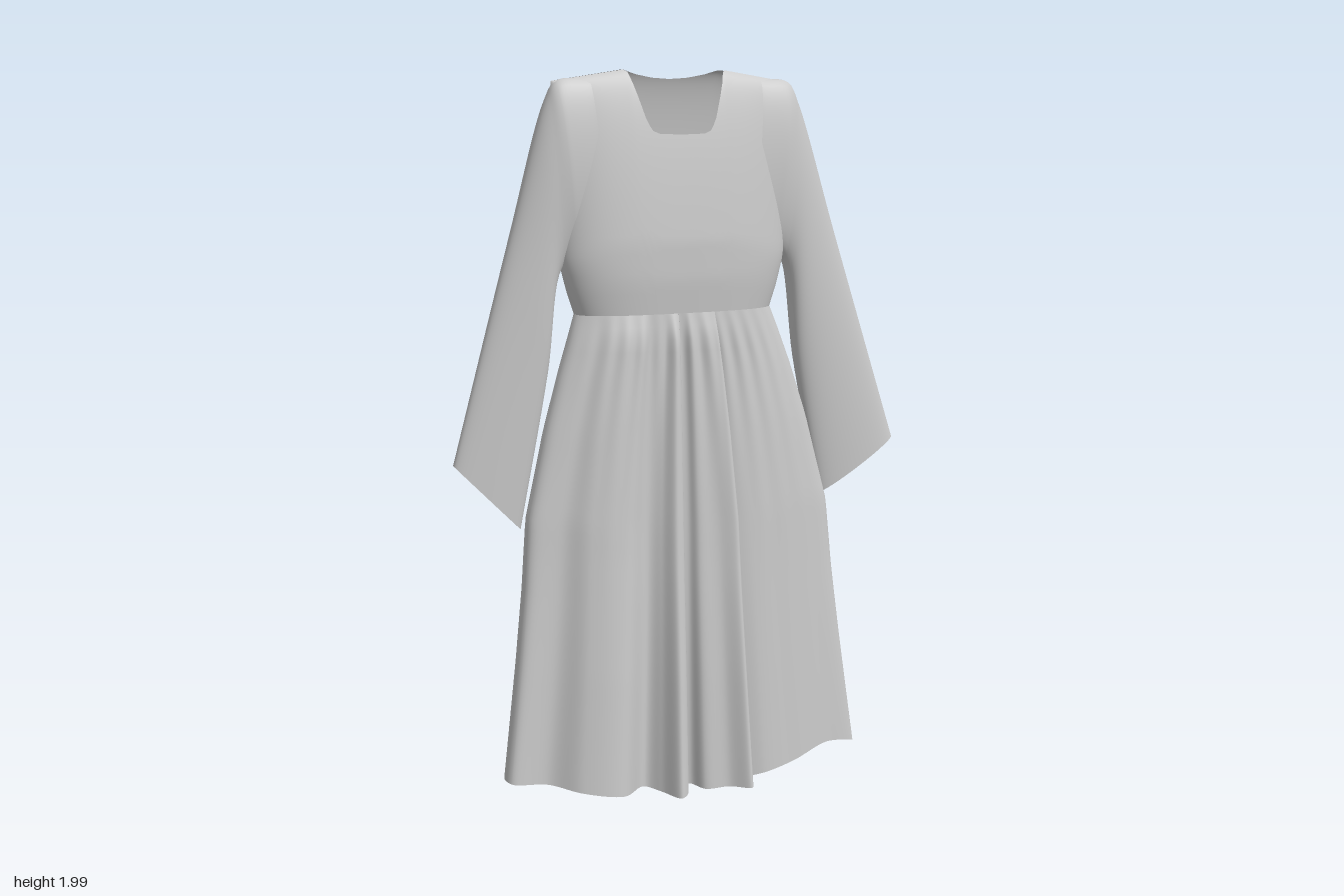
import * as THREE from 'three';

const material = new THREE.MeshStandardMaterial({ color: 0xcccccc, side: THREE.DoubleSide });
const WAIST = 1.36, MID = -0.04;

// Piecewise-linear lookup through [input, output] pairs
function ramp(pairs, t) {
  if (t <= pairs[0][0]) return pairs[0][1];
  for (let i = 1; i < pairs.length; i++) {
    const [a, p] = pairs[i - 1], [b, q] = pairs[i];
    if (t <= b) return p + (q - p) * (t - a) / (b - a);
  }
  return pairs[pairs.length - 1][1];
}

// Smooth sheet of cloth from point(u, v), joined along u when closed
function cloth(name, nu, nv, closed, point) {
  const pos = [], index = [], cols = closed ? nu : nu + 1;
  for (let j = 0; j <= nv; j++)
    for (let i = 0; i < cols; i++) pos.push(...point(i / nu, j / nv));
  for (let j = 0; j < nv; j++)
    for (let i = 0; i < nu; i++) {
      const k = (i + 1) % cols;
      const a = j * cols + i, b = j * cols + k, c = a + cols, d = b + cols;
      index.push(a, b, d, a, d, c);
    }
  const geo = new THREE.BufferGeometry();
  geo.setAttribute('position', new THREE.Float32BufferAttribute(pos, 3));
  geo.setIndex(index);
  geo.computeVertexNormals();
  const mesh = new THREE.Mesh(geo, material);
  mesh.name = name;
  return mesh;
}

// Depth falloff towards the side seams, u from -1 to 1
const sideRound = (u) => Math.sqrt(Math.max(0, 1 - Math.abs(u) ** 3.2));
const FRONT_WAIST = 0.092, BACK_WAIST = 0.058;

// Front or back of the bodice, with its neckline cut into the top edge
function bodicePanel(name, front) {
  const neck = front
    ? [[0, 1.83], [0.065, 1.832], [0.085, 1.84], [0.1, 1.865], [0.14, 1.998], [0.345, 1.967]]
    : [[0, 1.974], [0.05, 1.977], [0.1, 1.986], [0.14, 1.998], [0.345, 1.967]];
  const shoulder = [[0, 2], [0.14, 2], [0.345, 1.967]];
  const halfWidth = [[WAIST, 0.285], [1.42, 0.305], [1.5, 0.325], [1.8, 0.335], [1.97, 0.34]];
  return cloth(name, 90, 40, false, (a, b) => {
    const u = Math.sin((a - 0.5) * Math.PI) * 0.4 + (a * 2 - 1) * 0.6;
    const x0 = Math.abs(u) * 0.345;
    const top = ramp(neck, x0);
    const y = top - (top - WAIST) * b ** 1.8;
    const drop = Math.max(0, ramp(shoulder, x0) - y);
    const tuck = ramp([[WAIST, 0], [1.45, 1]], y);
    const depth = front
      ? (FRONT_WAIST + 0.008 * tuck) * Math.min(1, drop / 0.45) ** 0.38
      : (BACK_WAIST + 0.007 * tuck) * Math.min(1, drop / 0.25) ** 0.4;
    const z = -0.01 + (front ? 1 : -1) * depth * sideRound(u);
    return [MID + u * ramp(halfWidth, y), y, z];
  });
}

// Skirt hem: across the front from the right side, then round the back
const FRONT_HEM = [
  [-0.56, 0.1, 0.035], [-0.55, 0.095, 0.08], [-0.45, 0.08, 0.085], [-0.37, 0.065, 0.145],
  [-0.26, 0.045, 0.165], [-0.17, 0.03, 0.09], [-0.13, 0.02, 0.12], [-0.09, 0.015, 0.175],
  [-0.06, 0.02, 0.15], [-0.075, 0.02, 0.09], [-0.03, 0.015, 0.09], [0, 0.01, 0.13],
  [0.07, 0.01, 0.14], [0.125, 0.01, 0.175], [0.14, 0.01, 0.13], [0.13, 0.005, 0.09],
  [0.2, 0.015, 0.1], [0.3, 0.03, 0.085], [0.42, 0.06, 0.06], [0.52, 0.04, 0.035],
];
const BACK_HEM = [
  [0.46, 0.035, -0.01], [0.405, 0.04, -0.05], [0.385, 0.04, -0.11], [0.33, 0.04, -0.15],
  [0.15, 0.03, -0.162], [-0.09, 0.03, -0.18], [-0.07, 0.03, -0.165], [0, 0.03, -0.15],
  [-0.06, 0.04, -0.138], [-0.2, 0.05, -0.147], [-0.38, 0.06, -0.155], [-0.43, 0.07, -0.1],
  [-0.46, 0.08, -0.03],
];

function skirt() {
  const points = [...FRONT_HEM, ...BACK_HEM].map((p) => new THREE.Vector3(...p));
  const hem = new THREE.CatmullRomCurve3(points, true, 'centripetal');
  const frontEnd = (FRONT_HEM.length - 1) / points.length;
  const flareX = [[0, 0], [0.12, 0.22], [0.24, 0.41], [0.43, 0.65], [0.58, 0.72], [0.74, 0.82], [1, 1]];
  const flareFront = [[0, 0], [0.05, 0.18], [0.2, 0.32], [0.5, 0.55], [0.75, 0.8], [1, 1]];
  const flareBack = [[0, 0], [0.05, 0.13], [0.2, 0.4], [0.36, 0.66], [0.6, 0.82], [1, 1]];
  return cloth('skirt', 330, 40, true, (a, t) => {
    const h = hem.getPoint(a);
    const front = a <= frontEnd;
    const u = THREE.MathUtils.clamp((h.x + 0.02) / 0.54, -1, 1);
    const wx = MID + u * 0.285;
    const wz = -0.01 + (front ? FRONT_WAIST : -BACK_WAIST) * sideRound(u);
    // Fine gathers just under the waist seam
    const gather = front
      ? 0.007 * Math.sin(u * 42) * Math.exp(-t * 5) * Math.min(1, t * 14) * (1 - u * u)
      : 0;
    return [
      wx + (h.x - wx) * ramp(flareX, t),
      WAIST + (h.y - WAIST) * t,
      wz + (h.z - wz) * ramp(front ? flareFront : flareBack, t) + gather,
    ];
  });
}

// Flat flared sleeve between an upper edge and an underarm edge
function sleeve(name, upper, under) {
  const curve = (pts) => new THREE.CatmullRomCurve3(pts.map(([x, y]) => new THREE.Vector3(x, y, 0)));
  const outer = curve(upper), inner = curve(under);
  const thick = [[0, 0.055], [0.25, 0.058], [0.5, 0.054], [0.75, 0.047], [1, 0.033]];
  const centre = [[0, -0.005], [0.5, -0.012], [1, -0.03]];
  return cloth(name, 48, 36, true, (a, t) => {
    const o = outer.getPoint(t), i = inner.getPoint(t);
    const c = Math.cos(a * Math.PI * 2), s = Math.sin(a * Math.PI * 2);
    return [
      (o.x + i.x) / 2 + (o.x - i.x) / 2 * c,
      (o.y + i.y) / 2 + (o.y - i.y) / 2 * c,
      ramp(centre, t) + ramp(thick, t) * Math.sign(s) * Math.abs(s) ** 0.85,
    ];
  });
}

export function createModel() {
  const dress = new THREE.Group();
  dress.name = 'dress';
  dress.add(
    bodicePanel('bodiceFront', true),
    bodicePanel('bodiceBack', false),
    skirt(),
    sleeve('rightSleeve',
      [[-0.28, 1.975], [-0.365, 1.968], [-0.395, 1.92], [-0.495, 1.57], [-0.66, 0.97]],
      [[-0.24, 1.48], [-0.32, 1.51], [-0.36, 1.48], [-0.4, 1.2], [-0.48, 0.78]]),
    sleeve('leftSleeve',
      [[0.21, 1.975], [0.295, 1.968], [0.325, 1.92], [0.447, 1.57], [0.66, 0.95]],
      [[0.17, 1.48], [0.25, 1.51], [0.29, 1.48], [0.335, 1.2], [0.42, 0.8]]),
  );
  return dress;
}
